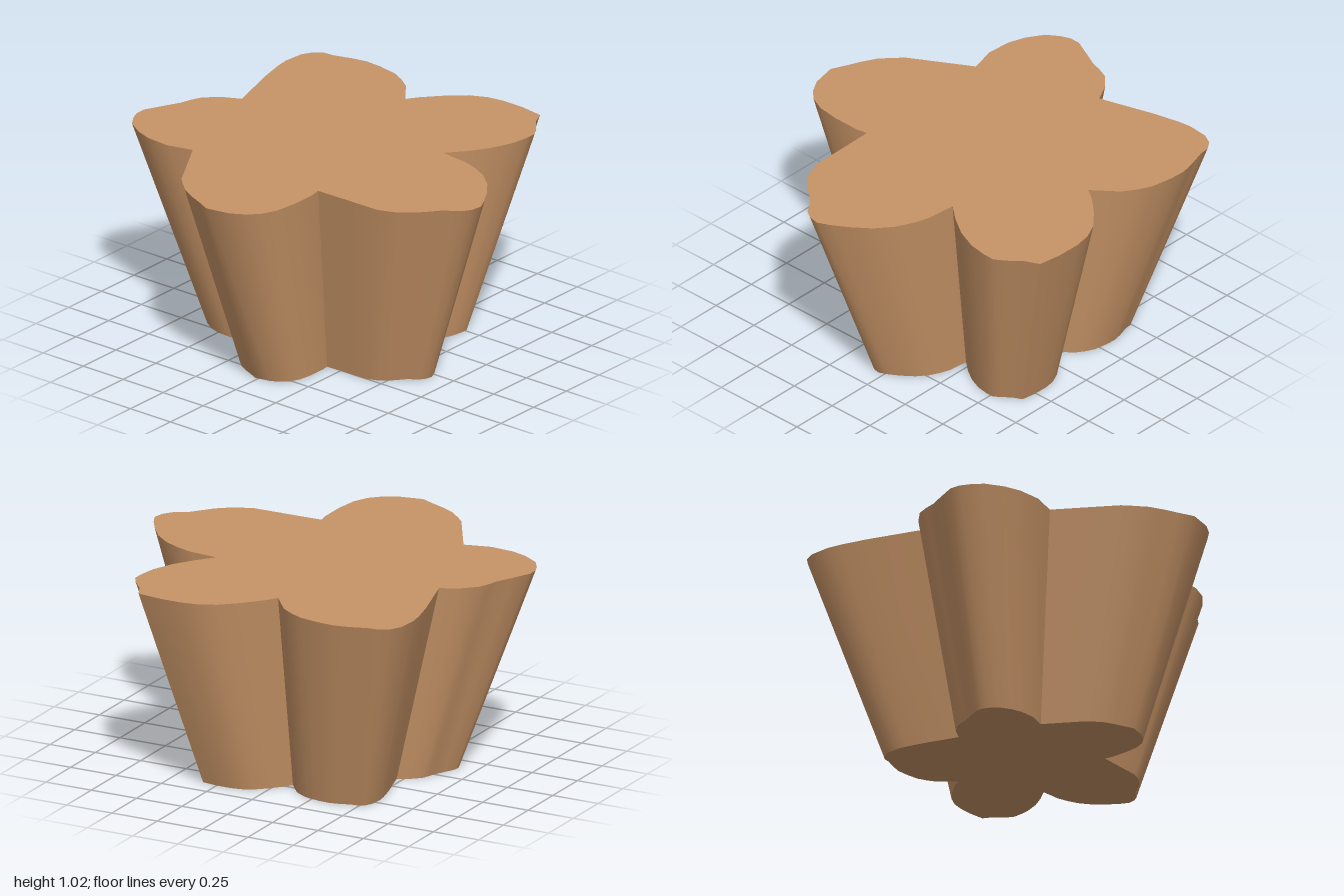
import * as THREE from 'three';
import { toCreasedNormals } from 'three/addons/utils/BufferGeometryUtils.js';

const HEIGHT = 1.025;
const BASE_SCALE = 0.644;            // size of the foot relative to the rim
const BASE_X = -0.007, BASE_Z = -0.035; // slight lean of the foot

// Rim outline as x, z pairs; each petal starts at the valley before it
const petals = [
  // right-hand side of the front (+x)
  [.45, -.285, .60, -.27, .68, -.245, .77, -.2, .85, -.135, .92, -.045, .97, .035, 1, .1,
    .99, .155, .96, .2, .885, .25, .805, .35, .73, .41, .635, .445, .44, .447],
  // front
  [.27, .45, .28, .505, .28, .645, .265, .76, .23, .84, .18, .89, .11, .93, -.015, .955,
    -.09, .92, -.16, .89, -.235, .85, -.295, .795, -.335, .755],
  // -x side
  [-.51, .455, -.645, .49, -.77, .48, -.855, .45, -.94, .395, -.98, .335, -1, .285, -1, .23,
    -.955, .135, -.915, .055, -.9, 0, -.875, -.06, -.805, -.125],
  // back, -x
  [-.715, -.17, -.8, -.455, -.83, -.585, -.84, -.66, -.83, -.765, -.8, -.82, -.755, -.85, -.7, -.855,
    -.605, -.885, -.53, -.9, -.445, -.895, -.335, -.875, -.265, -.84, -.2, -.795],
  // back, +x
  [-.1, -.67, -.065, -.725, .02, -.82, .11, -.9, .195, -.94, .285, -.955, .405, -.953, .525, -.935,
    .56, -.86, .62, -.79, .65, -.74, .65, -.68, .635, -.585, .59, -.475, .525, -.375],
];

export function createModel() {
  const group = new THREE.Group();
  group.name = 'flowerBlock';

  // Flower outline, drawn flat and extruded upward
  const points = [];
  for (const petal of petals) {
    for (let i = 0; i < petal.length; i += 2) points.push(new THREE.Vector2(petal[i], -petal[i + 1]));
  }
  const geometry = new THREE.ExtrudeGeometry(new THREE.Shape(points), {
    depth: HEIGHT, bevelEnabled: false, steps: 1,
  });
  geometry.rotateX(-Math.PI / 2);

  // Taper: shrink the foot
  const pos = geometry.attributes.position;
  for (let i = 0; i < pos.count; i++) {
    if (pos.getY(i) < HEIGHT / 2) {
      pos.setXYZ(i, pos.getX(i) * BASE_SCALE + BASE_X, 0, pos.getZ(i) * BASE_SCALE + BASE_Z);
    }
  }

  // Smooth petals with sharp valleys and rims
  const body = new THREE.Mesh(
    toCreasedNormals(geometry, 0.6),
    new THREE.MeshStandardMaterial({ color: 0xc69366 }),
  );
  body.name = 'taperedFlowerBody';
  group.add(body);
  return group;
}
